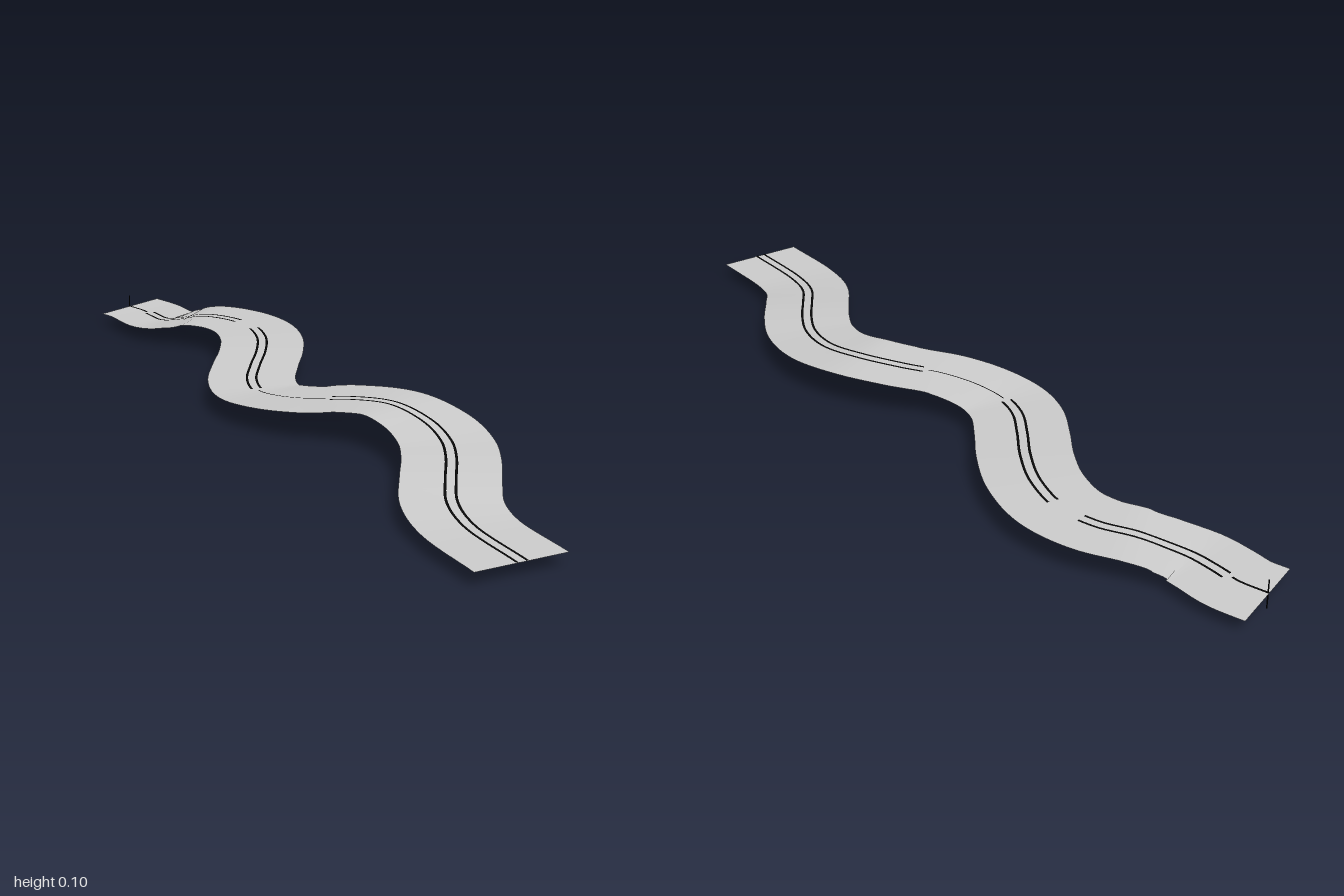
import * as THREE from 'three';

const asphalt = new THREE.MeshStandardMaterial({ color: 0xcccccc, side: THREE.DoubleSide });
asphalt.name = 'light grey';
const paint = new THREE.MeshStandardMaterial({ color: 0x080808, side: THREE.DoubleSide });
paint.name = 'black';

// Centre line of the winding road: x, height, z
const path = new THREE.CatmullRomCurve3([
  [-1, 0.037, -0.407], [-0.93, 0.037, -0.4], [-0.87, 0.038, -0.38], [-0.81, 0.04, -0.364],
  [-0.75, 0.052, -0.373], [-0.69, 0.068, -0.392], [-0.6, 0.072, -0.408], [-0.5, 0.073, -0.39],
  [-0.4, 0.074, -0.325], [-0.32, 0.072, -0.235], [-0.255, 0.067, -0.14], [-0.19, 0.062, -0.055],
  [-0.12, 0.06, -0.005], [-0.04, 0.067, 0.01], [0.05, 0.077, 0], [0.15, 0.09, -0.04],
  [0.26, 0.096, -0.062], [0.38, 0.085, -0.04], [0.48, 0.075, 0.02], [0.55, 0.07, 0.095],
  [0.61, 0.062, 0.178], [0.68, 0.049, 0.268], [0.77, 0.04, 0.332], [0.955, 0.037, 0.408],
].map((p) => new THREE.Vector3(...p)));

const STEPS = 180;
const stations = Array.from({ length: STEPS + 1 }, (_, i) => {
  const point = path.getPointAt(i / STEPS);
  const t = path.getTangentAt(i / STEPS);
  // The road leaves the post end square to the x axis
  if (i === 0) t.set(1, 0, 0);
  return { point, side: new THREE.Vector3(-t.z, 0, t.x).normalize() };
});

// Flat strip that follows the path between two x positions
function ribbon(name, material, offset, width, lift, fromX = -2, toX = 2) {
  const used = stations.filter((s) => s.point.x >= fromX && s.point.x <= toX);
  const positions = [];
  const index = [];
  used.forEach(({ point, side }, i) => {
    for (const d of [offset - width / 2, offset + width / 2]) {
      positions.push(point.x + side.x * d, point.y + lift, point.z + side.z * d);
    }
    if (i) {
      const a = 2 * i - 2;
      index.push(a, a + 1, a + 3, a, a + 3, a + 2);
    }
  });
  const geometry = new THREE.BufferGeometry();
  geometry.setAttribute('position', new THREE.Float32BufferAttribute(positions, 3));
  geometry.setIndex(index);
  geometry.computeVertexNormals();
  const mesh = new THREE.Mesh(geometry, material);
  mesh.name = name;
  return mesh;
}

export function createModel() {
  const group = new THREE.Group();
  group.name = 'windingRoad';
  group.add(ribbon('roadSurface', asphalt, 0, 0.225, 0));

  // Twin centre lines, worn away in places
  for (const [from, to] of [[-0.9, -0.56], [-0.48, -0.13], [0.1, 0.96]]) {
    for (const s of [-1, 1]) group.add(ribbon('centreLine', paint, s * 0.012, 0.006, 0.0015, from, to));
  }
  group.add(ribbon('startLine', paint, 0.004, 0.006, 0.0015, -1, -0.91));
  group.add(ribbon('wornLine', paint, 0, 0.003, 0.0015, -0.13, 0.1));

  // Thin marker post at the start of the road
  const post = new THREE.Mesh(new THREE.CylinderGeometry(0.0015, 0.0015, 0.07, 6), paint);
  post.name = 'markerPost';
  post.position.set(-0.998, 0.035, -0.403);
  group.add(post);
  return group;
}
